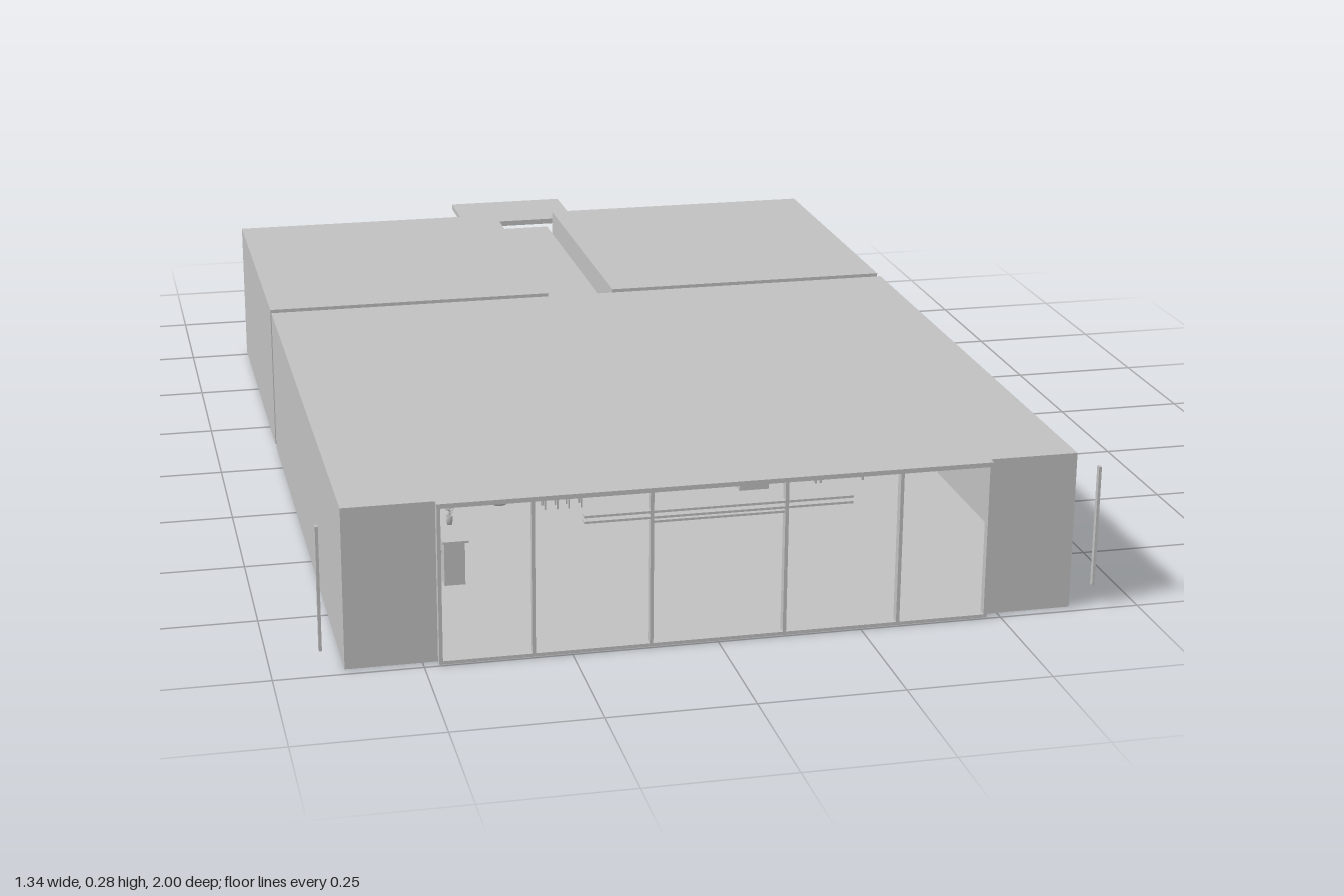
import * as THREE from 'three';

const grey = new THREE.MeshStandardMaterial({ color: 0xc0c0c0, side: THREE.DoubleSide });
grey.name = 'plain grey';

export function createModel() {
  const model = new THREE.Group();
  model.name = 'building';

  function add(name, geo, parent = model) {
    const m = new THREE.Mesh(geo, grey);
    m.name = name;
    parent.add(m);
    return m;
  }
  // Box given by its limits on each axis
  function box(name, x0, x1, y0, y1, z0, z1, parent = model) {
    const g = new THREE.BoxGeometry(x1 - x0, y1 - y0, z1 - z0);
    g.translate((x0 + x1) / 2, (y0 + y1) / 2, (z0 + z1) / 2);
    return add(name, g, parent);
  }
  function group(name, x, y, z) {
    const g = new THREE.Group();
    g.name = name;
    g.position.set(x, y, z);
    model.add(g);
    return g;
  }
  // Both sides at once: limits are for the +x side
  function pair(name, x0, x1, ...rest) {
    box(name + 'Left', x0, x1, ...rest);
    box(name + 'Right', -x1, -x0, ...rest);
  }

  // Main hall: floor, roof and walls
  box('hallFloor', -0.63, 0.63, 0.002, 0.007, -0.115, 0.985);
  box('hallRoof', -0.63, 0.63, 0.279, 0.285, -0.115, 0.985);
  pair('hallSideWall', 0.62, 0.63, 0.002, 0.285, -0.115, 0.985);
  pair('frontWing', 0.475, 0.63, 0.002, 0.285, 0.975, 0.985);
  pair('hallRearWall', 0.05, 0.63, 0.002, 0.285, -0.115, -0.105);
  box('wallOverPassage', -0.05, 0.05, 0.195, 0.285, -0.115, -0.105);
  pair('sideRoom', 0.263, 0.62, 0.007, 0.279, -0.105, 0.08);

  // Door frame around the passage, and the two doors beside it
  pair('passageJamb', 0.05, 0.056, 0.007, 0.2, -0.105, -0.098);
  box('passageLintel', -0.056, 0.056, 0.195, 0.201, -0.105, -0.098);
  pair('doorJambInner', 0.085, 0.091, 0.007, 0.19, -0.105, -0.098);
  pair('doorJambOuter', 0.172, 0.178, 0.007, 0.19, -0.105, -0.098);
  pair('doorLintel', 0.085, 0.178, 0.184, 0.19, -0.105, -0.098);

  // Front window frame with mullions
  box('windowSill', -0.475, 0.475, 0.002, 0.008, 0.98, 1);
  box('windowHead', -0.475, 0.475, 0.277, 0.285, 0.975, 1);
  for (const x of [0.115, 0.315, 0.472])
    pair('mullion', x - 0.003, x + 0.003, 0.002, 0.28, 0.985, 1);
  box('doorTransom', -0.115, 0.115, 0.222, 0.226, 0.987, 0.996);
  box('signRailTop', -0.23, 0.23, 0.241, 0.245, 0.985, 1);
  box('signRailBottom', -0.23, 0.23, 0.231, 0.235, 0.985, 1);

  // Slim free-standing strips beside the front
  pair('sideStrip', 0.667, 0.672, 0.042, 0.26, 0.985, 0.994);

  // Rear blocks and the door links across the joint
  pair('rearBlock', 0.066, 0.63, 0.002, 0.285, -0.765, -0.137);
  pair('doorLink', 0.088, 0.174, 0.002, 0.19, -0.137, -0.115);

  // Passage between the rear blocks
  box('passageFloor', -0.066, 0.066, 0.002, 0.007, -0.825, -0.115);
  box('passageRoof', -0.066, 0.066, 0.229, 0.235, -0.825, -0.115);
  pair('passageWall', 0.058, 0.066, 0.002, 0.235, -0.825, -0.115);
  box('canopy', -0.125, 0.125, 0.241, 0.252, -1, -0.828);

  // Foot discs under the floor
  for (const s of [-1, 1])
    for (const z of [0.95, 0.42, -0.08, -0.18, -0.72]) {
      const foot = add('foot', new THREE.CylinderGeometry(0.014, 0.014, 0.003, 16));
      foot.position.set(s * 0.59, 0.0015, z);
    }

  // Potted plant: pot profile, stem and a spray of leaves
  function plant(name, x, y, z, potR, potH, height, leaves) {
    const g = group(name, x, y, z);
    const profile = [[0, 0], [0.75, 0], [1, 0.6], [0.95, 1], [0.8, 1], [0.8, 0.85], [0, 0.85]];
    add('pot', new THREE.LatheGeometry(
      profile.map(([r, h]) => new THREE.Vector2(r * potR, h * potH)), 16), g);
    const stemH = height - potH;
    const stem = add('stem', new THREE.CylinderGeometry(0.0015, 0.0025, stemH * 0.75, 5), g);
    stem.position.y = potH + stemH * 0.35;
    const leaf = new THREE.SphereGeometry(1, 6, 4);
    leaf.translate(0, 1, 0).scale(0.005, stemH * 0.2, 0.0012);
    for (let i = 0; i < leaves; i++) {
      const m = add('leaf', leaf, g);
      m.position.y = potH + stemH * (0.2 + 0.5 * i / leaves);
      m.rotation.order = 'YXZ';
      m.rotation.set(1.25 - 0.9 * i / leaves, i * 2.4, 0);
    }
  }
  plant('tallPlant', -0.25, 0.007, 0.3, 0.019, 0.045, 0.15, 12);
  plant('smallPlant', 0.11, 0.007, 0.25, 0.017, 0.038, 0.115, 10);
  plant('cornerPlant', -0.56, 0.007, 0.66, 0.022, 0.045, 0.14, 12);
  box('planterBox', 0.215, 0.273, 0.007, 0.08, 0.27, 0.33);
  plant('planterPlant', 0.244, 0.08, 0.3, 0.018, 0.01, 0.075, 12);

  // Reception counter with a screen and flowers
  box('counterTop', -0.475, -0.41, 0.058, 0.063, 0.58, 0.65);
  box('counterBody', -0.415, -0.378, 0.007, 0.087, 0.55, 0.68);
  box('counterLedge', -0.418, -0.372, 0.087, 0.091, 0.545, 0.685);
  box('screen', -0.441, -0.436, 0.082, 0.106, 0.6, 0.635);
  box('screenStand', -0.44, -0.437, 0.063, 0.085, 0.615, 0.62);
  plant('flowers', -0.392, 0.091, 0.6, 0.006, 0.016, 0.045, 7);

  // Dining table
  const table = group('table', -0.135, 0.007, 0.3);
  box('tableTop', -0.04, 0.04, 0.043, 0.047, -0.03, 0.03, table);
  for (const x of [-0.036, 0.036])
    for (const z of [-0.026, 0.026])
      box('tableLeg', x - 0.002, x + 0.002, 0, 0.043, z - 0.002, z + 0.002, table);

  // Chairs on both long sides of the table
  for (const x of [-0.158, -0.112])
    for (const s of [-1, 1]) {
      const chair = group('chair', x, 0.007, 0.3 + s * 0.04);
      if (s < 0) chair.rotation.y = Math.PI;
      box('seat', -0.014, 0.014, 0.026, 0.03, -0.014, 0.014, chair);
      box('backrest', -0.014, 0.014, 0.042, 0.058, 0.012, 0.015, chair);
      for (const lx of [-0.012, 0.012])
        for (const lz of [-0.012, 0.012])
          box('chairLeg', lx - 0.0015, lx + 0.0015, 0, lz > 0 ? 0.045 : 0.027, lz - 0.0015, lz + 0.0015, chair);
    }

  // Lounge chair: bent seat shell on two legs
  const lounge = group('loungeChair', 0.34, 0.007, 0.3);
  const shell = new THREE.Shape([[-0.037, 0.05], [-0.033, 0.052], [-0.012, 0.02], [0.035, 0.024],
    [0.035, 0.02], [-0.014, 0.014]].map(([x, y]) => new THREE.Vector2(x, y)));
  add('loungeShell', new THREE.ExtrudeGeometry(shell, { depth: 0.05, bevelEnabled: false })
    .translate(0, 0, -0.025), lounge);
  for (const x of [-0.03, 0.03]) box('loungeLeg', x - 0.002, x + 0.002, 0, 0.022, -0.022, 0.022, lounge);

  // Low bench with a cushion
  const bench = group('bench', 0.425, 0.007, 0.3);
  box('benchTop', -0.05, 0.045, 0.018, 0.024, -0.025, 0.025, bench);
  box('cushion', 0.01, 0.04, 0.024, 0.03, -0.02, 0.02, bench);
  for (const x of [-0.045, 0.04]) box('benchLeg', x - 0.002, x + 0.002, 0, 0.018, -0.022, 0.022, bench);

  return model;
}
